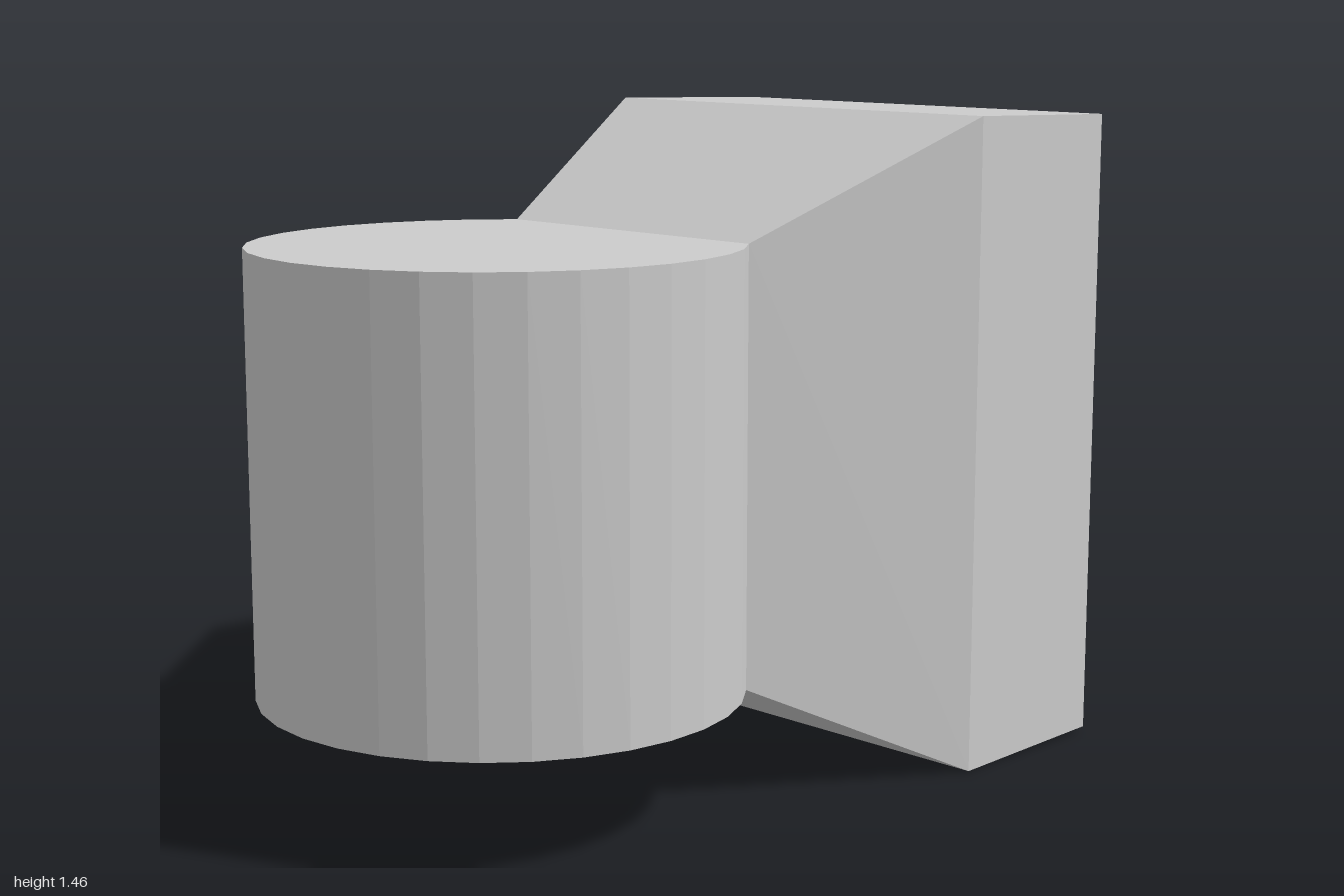
import * as THREE from 'three';

const grey = new THREE.MeshStandardMaterial({ color: 0xcccccc, flatShading: true });
const MID_Y = 0.733;

// Joins rectangular sections [x, half height, half depth] along x and caps the last one.
function loftSections(sections) {
  const positions = [];
  const index = [];
  for (const [x, h, d] of sections) {
    positions.push(x, MID_Y - h, d, x, MID_Y - h, -d, x, MID_Y + h, -d, x, MID_Y + h, d);
  }
  for (let i = 0; i < sections.length - 1; i++) {
    for (let j = 0; j < 4; j++) {
      const a = i * 4 + j;
      const b = i * 4 + (j + 1) % 4;
      index.push(a, b, b + 4, a, b + 4, a + 4);
    }
  }
  const e = (sections.length - 1) * 4;
  index.push(e, e + 1, e + 2, e, e + 2, e + 3);
  const geometry = new THREE.BufferGeometry();
  geometry.setAttribute('position', new THREE.Float32BufferAttribute(positions, 3));
  geometry.setIndex(index);
  const flat = geometry.toNonIndexed();
  flat.computeVertexNormals();
  return flat;
}

export function createModel() {
  const group = new THREE.Group();
  const radius = 0.523;
  const centreX = -1 + radius;
  const neck = radius * Math.SQRT1_2;
  const halfHeight = 0.479;

  // Upright drum, cut off by a chord where the head begins
  const outline = new THREE.Shape();
  outline.absarc(0, 0, radius, Math.PI / 4, Math.PI * 7 / 4, false);
  outline.closePath();
  const drumGeometry = new THREE.ExtrudeGeometry(outline, {
    depth: halfHeight * 2, bevelEnabled: false, curveSegments: 12,
  });
  drumGeometry.rotateX(-Math.PI / 2);
  const drum = new THREE.Mesh(drumGeometry, grey);
  drum.name = 'drum';
  drum.position.set(centreX, MID_Y - halfHeight, 0);
  group.add(drum);

  // Flaring head with a bevelled striking end
  const head = new THREE.Mesh(loftSections([
    [centreX + neck, halfHeight, neck],
    [0.41, 0.73, 0.563],
    [0.843, 0.718, 0.553],
    [1, 0.566, 0.3],
  ]), grey);
  head.name = 'flaredHead';
  group.add(head);

  return group;
}
